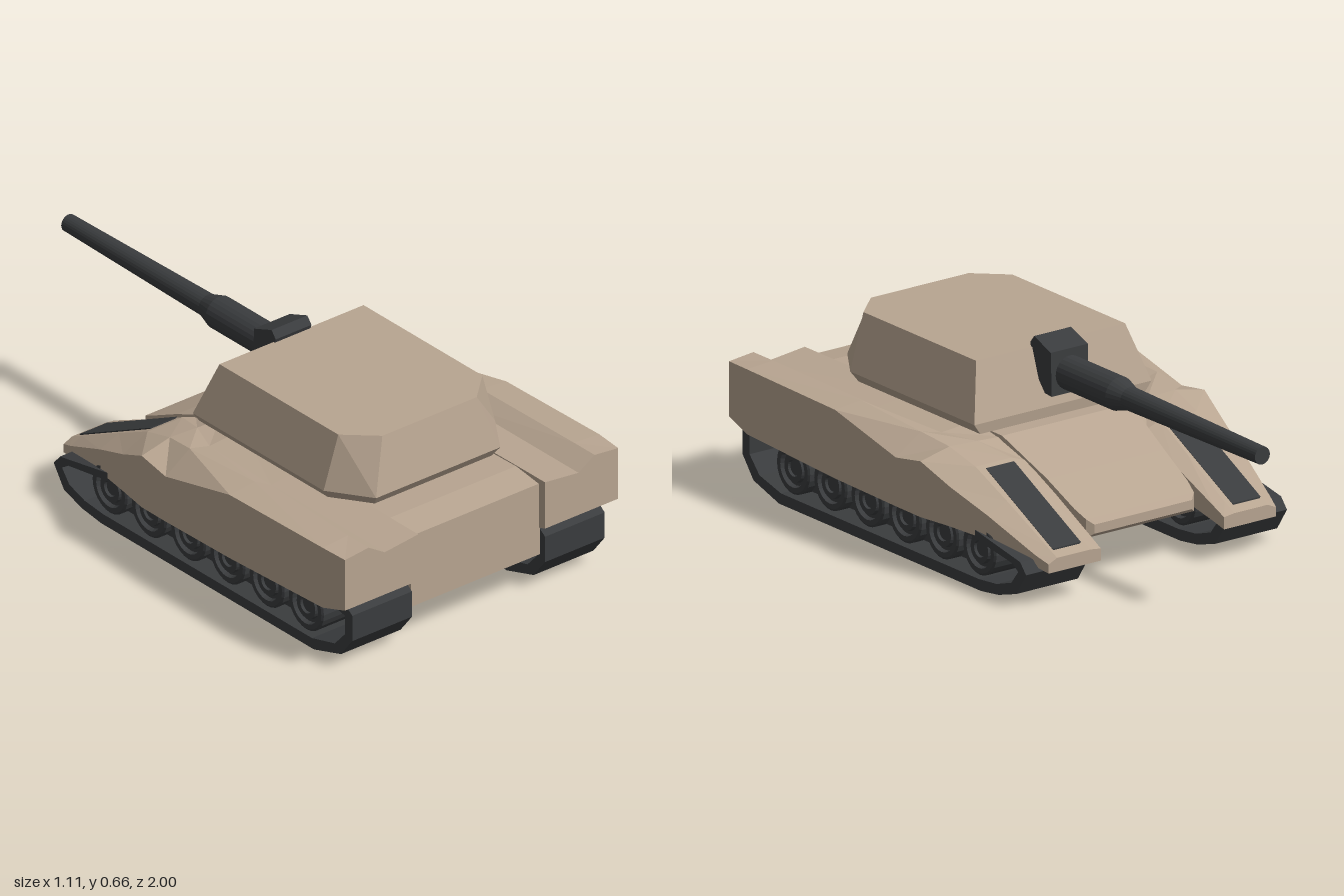
import * as THREE from 'three';

const tan = new THREE.MeshStandardMaterial({ color: 0xb8a591 });
tan.name = 'hull tan';
const dark = new THREE.MeshStandardMaterial({ color: 0x3a3c3e });
dark.name = 'dark steel';

// Flat facets for any geometry
function faceted(geo) {
  const g = geo.index ? geo.toNonIndexed() : geo;
  g.computeVertexNormals();
  return g;
}

function add(parent, name, geo, mat) {
  const mesh = new THREE.Mesh(faceted(geo), mat);
  mesh.name = name;
  parent.add(mesh);
  return mesh;
}

// Closed solid through equal-sized loops of [x, y, z] points, turned to face outwards
function loft(loops) {
  const n = loops[0].length, tris = [];
  for (let i = 0; i < loops.length - 1; i++) {
    for (let j = 0; j < n; j++) {
      const k = (j + 1) % n, a = loops[i], b = loops[i + 1];
      tris.push([a[j], a[k], b[k]], [a[j], b[k], b[j]]);
    }
  }
  const first = loops[0], last = loops[loops.length - 1];
  for (let j = 1; j < n - 1; j++) {
    tris.push([first[0], first[j + 1], first[j]], [last[0], last[j], last[j + 1]]);
  }
  const v = (p) => new THREE.Vector3(...p);
  const volume = tris.reduce((s, t) => s + v(t[0]).dot(v(t[1]).cross(v(t[2]))), 0);
  if (volume < 0) tris.forEach((t) => t.reverse());
  const geo = new THREE.BufferGeometry();
  geo.setAttribute('position', new THREE.Float32BufferAttribute(tris.flat(2), 3));
  return geo;
}

function polygon(Type, pts) {
  return new Type(pts.map(([x, y]) => new THREE.Vector2(x, y)));
}

function buildFender(parent, s) {
  // z, outer x, bottom y, outer top y, ridge x/y, groove x/y, inner x/y
  const stations = [
    [1.0, 0.55, 0.24, 0.42, 0.455, 0.43, 0.39, 0.39, 0.255, 0.405],
    [0.9, 0.557, 0.21, 0.423, 0.455, 0.43, 0.39, 0.39, 0.255, 0.405],
    [0.45, 0.557, 0.19, 0.415, 0.455, 0.425, 0.39, 0.39, 0.25, 0.405],
    [0.14, 0.557, 0.185, 0.345, 0.46, 0.41, 0.38, 0.39, 0.245, 0.4],
    [0.02, 0.553, 0.182, 0.365, 0.44, 0.39, 0.33, 0.385, 0.24, 0.38],
    [-0.1, 0.53, 0.18, 0.31, 0.43, 0.355, 0.29, 0.355, 0.235, 0.335],
    [-0.25, 0.497, 0.17, 0.25, 0.42, 0.28, 0.285, 0.28, 0.23, 0.262],
    [-0.44, 0.457, 0.128, 0.165, 0.412, 0.185, 0.28, 0.185, 0.238, 0.178],
    [-0.49, 0.443, 0.115, 0.145, 0.41, 0.16, 0.28, 0.16, 0.24, 0.155],
  ];
  add(parent, 'fender', loft(stations.map(([z, xo, yb, yt, xr, yr, xg, yg, xi, yi]) => [
    [s * xo, yb, z], [s * xo, yt, z], [s * xr, yr, z],
    [s * xg, yg, z], [s * xi, yi, z], [s * xi, yb, z],
  ])), tan);

  // Dark strip along the sloping front of the fender
  const strip = [[-0.12, 0.345], [-0.25, 0.28], [-0.44, 0.185], [-0.46, 0.175]];
  add(parent, 'fenderStrip', loft(strip.map(([z, y]) => [
    [s * 0.3, y - 0.003, z], [s * 0.4, y - 0.003, z], [s * 0.405, y + 0.005, z], [s * 0.295, y + 0.005, z],
  ])), dark);
}

function buildRunningGear(parent, s) {
  // Track belt as an open loop
  const belt = polygon(THREE.Shape, [
    [0.8, 0], [-0.23, 0], [-0.32, 0.012], [-0.41, 0.04], [-0.46, 0.115], [-0.43, 0.15],
    [-0.1, 0.21], [0.95, 0.225], [0.985, 0.2], [0.985, 0.11], [0.93, 0.04],
  ]);
  belt.holes.push(polygon(THREE.Path, [
    [0.79, 0.036], [0.9, 0.065], [0.95, 0.12], [0.95, 0.185], [0.9, 0.195], [-0.1, 0.18],
    [-0.39, 0.135], [-0.42, 0.115], [-0.385, 0.07], [-0.31, 0.045], [-0.22, 0.036],
  ]));
  const track = new THREE.ExtrudeGeometry(belt, { depth: 0.24, bevelEnabled: false });
  track.rotateY(-Math.PI / 2).translate(s > 0 ? 0.508 : -0.268, 0, 0);
  add(parent, 'track', track, dark);

  // Suspension beam behind the wheels
  add(parent, 'suspensionBeam', new THREE.BoxGeometry(0.15, 0.14, 0.95)
    .translate(s * 0.388, 0.13, 0.27), dark);

  // Six road wheels with stepped rims and hubs
  const half = [[0.085, 0.085], [0.085, 0.105], [0.078, 0.11], [0.062, 0.11], [0.058, 0.095],
    [0.048, 0.095], [0.045, 0.107], [0.027, 0.107], [0.025, 0.098], [0, 0.098]];
  const profile = [...half.map(([r, y]) => [r, -y]).reverse(), ...half]
    .map(([r, y]) => new THREE.Vector2(r, y));
  for (let i = 0; i < 6; i++) {
    const wheel = new THREE.LatheGeometry(profile, 24);
    wheel.rotateZ(Math.PI / 2).translate(s * 0.388, 0.128, 0.745 - i * 0.19);
    add(parent, 'roadWheel', wheel, dark);
  }
}

function buildTurret(parent) {
  // Chamfered plan: y, half width, front z, side end z, rear half width, rear z
  const levels = [
    [0.405, 0.32, 0.02, 0.64, 0.235, 0.765],
    [0.44, 0.345, 0.017, 0.65, 0.25, 0.79],
    [0.622, 0.29, 0.08, 0.655, 0.19, 0.748],
  ];
  add(parent, 'turretShell', loft(levels.map(([y, w, zf, zs, wr, zr]) => [
    [w, y, zf], [w, y, zs], [wr, y, zr], [-wr, y, zr], [-w, y, zs], [-w, y, zf],
  ])), tan);
  add(parent, 'turretRing', new THREE.CylinderGeometry(0.175, 0.175, 0.04, 24)
    .translate(0, 0.395, 0.4), tan);

  // Gun mantlet
  const side = [[0.09, 0.635], [0.07, 0.66], [-0.015, 0.628], [-0.02, 0.485], [0.015, 0.488], [0.06, 0.54]];
  add(parent, 'gunMantlet', loft([-0.072, 0.072].map((x) => side.map(([z, y]) => [x, y, z]))), dark);

  // Gun barrel with a thick sleeve at its base
  const barrel = new THREE.LatheGeometry(
    [[0, 0], [0.055, 0], [0.055, 0.27], [0.038, 0.325], [0.029, 1], [0, 1]]
      .map(([r, l]) => new THREE.Vector2(r, l)), 24);
  barrel.rotateX(-Math.PI / 2).translate(0, 0.55, 0);
  add(parent, 'gunBarrel', barrel, dark);
}

export function createModel() {
  const tank = new THREE.Group();
  tank.name = 'tank';

  // Central hull: z, half width, bottom y, top y
  const sections = [
    [0.97, 0.26, 0.135, 0.387], [0.86, 0.26, 0.135, 0.402], [0, 0.25, 0.135, 0.39],
    [-0.2, 0.228, 0.135, 0.3], [-0.33, 0.22, 0.14, 0.235], [-0.375, 0.21, 0.15, 0.212], [-0.392, 0.19, 0.165, 0.195],
  ];
  add(tank, 'hull', loft(sections.map(([z, w, b, t]) => [
    [w, b, z], [w, t, z], [-w, t, z], [-w, b, z],
  ])), tan);

  for (const s of [1, -1]) {
    const sideGroup = new THREE.Group();
    sideGroup.name = s > 0 ? 'leftSide' : 'rightSide';
    buildFender(sideGroup, s);
    buildRunningGear(sideGroup, s);
    tank.add(sideGroup);
  }

  const turret = new THREE.Group();
  turret.name = 'turret';
  buildTurret(turret);
  tank.add(turret);
  return tank;
}
